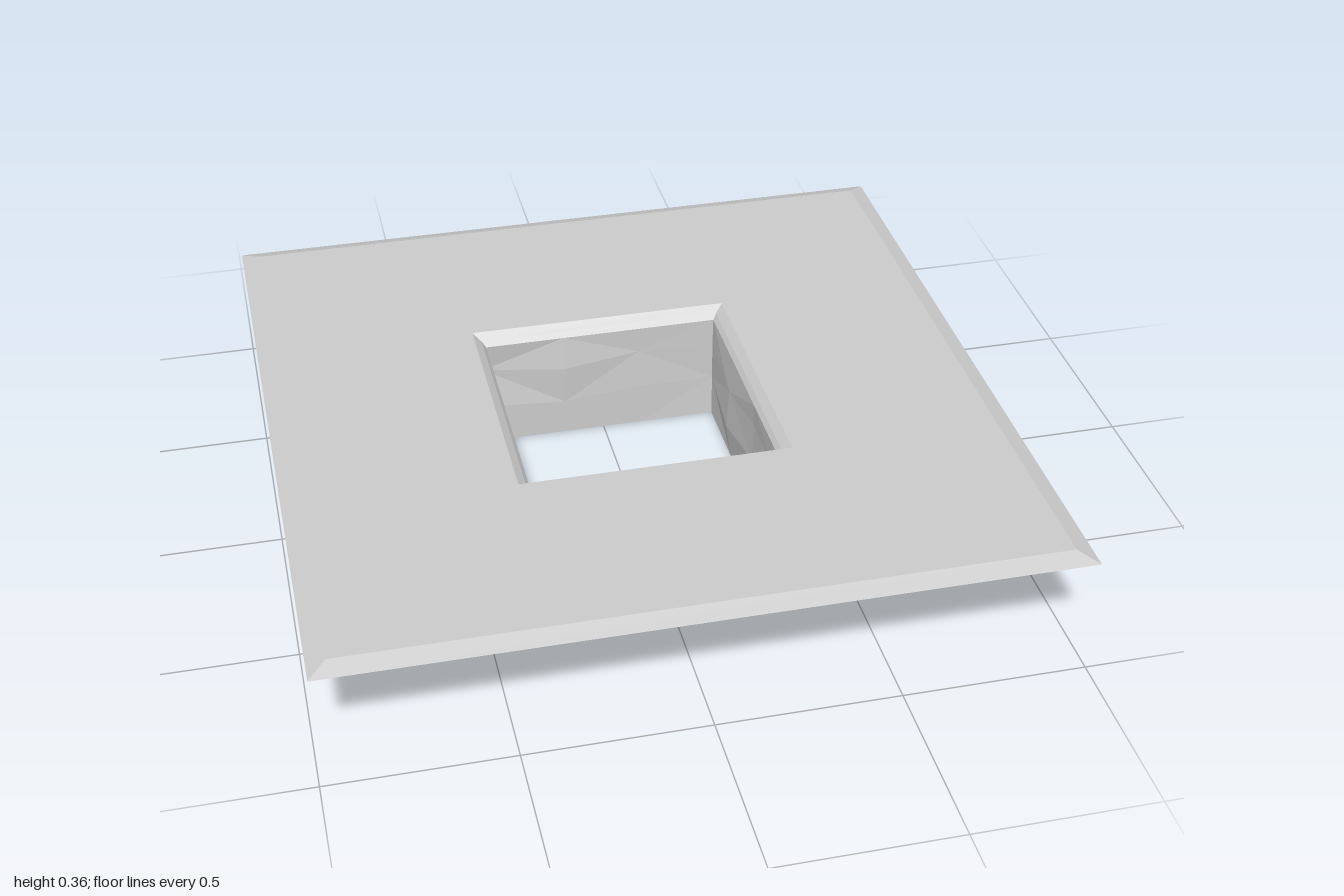
import * as THREE from 'three';

const C = -0.005; // the shaft sits slightly off centre

// Square ring, anticlockwise from above, with n segments per side
function squareRing(r, y, n = 1, c = 0) {
  const pts = [];
  const corners = [[1, 1], [1, -1], [-1, -1], [-1, 1]];
  corners.forEach(([x, z], i) => {
    const [x2, z2] = corners[(i + 1) % 4];
    for (let k = 0; k < n; k++) {
      const t = k / n;
      pts.push([c + r * (x + (x2 - x) * t), y, c + r * (z + (z2 - z) * t)]);
    }
  });
  return pts;
}

// Faceted sheet joining successive rings of equal length
function loft(rings) {
  const pos = [];
  for (let j = 0; j < rings.length - 1; j++) {
    const A = rings[j], B = rings[j + 1], n = A.length;
    for (let i = 0; i < n; i++) {
      const k = (i + 1) % n;
      if ((i + j) % 2) pos.push(...A[i], ...A[k], ...B[k], ...A[i], ...B[k], ...B[i]);
      else pos.push(...A[i], ...A[k], ...B[i], ...A[k], ...B[k], ...B[i]);
    }
  }
  const g = new THREE.BufferGeometry();
  g.setAttribute('position', new THREE.Float32BufferAttribute(pos, 3));
  g.computeVertexNormals();
  return g;
}

export function createModel() {
  const group = new THREE.Group();
  group.name = 'groundWithShaft';
  const stone = new THREE.MeshStandardMaterial({ color: 0xcccccc, side: THREE.DoubleSide, flatShading: true });
  stone.name = 'grey stone';
  const add = (name, rings) => {
    const m = new THREE.Mesh(loft(rings), stone);
    m.name = name;
    group.add(m);
  };

  // Ground sheet with a bevelled rim and a lip around the hole
  add('ground', [
    squareRing(1, 0.345),
    squareRing(0.95, 0.363),
    squareRing(0.375, 0.363, 1, C),
    squareRing(0.352, 0.345, 1, C),
  ]);

  // Narrowing collar under the lip
  add('collar', [squareRing(0.352, 0.345, 1, C), squareRing(0.341, 0.33, 1, C)]);

  // Rough walls: middle rings pushed in or out; right, back, left, front sides
  const upper = [0.002, 0.004, -0.008, 0, 0.003, -0.01, 0.012, 0.006, 0.003, 0.004, 0.01, 0.004];
  const lower = [0.003, 0.002, -0.014, 0.002, -0.004, -0.004, -0.004, 0.004, -0.003, 0.005, -0.004, 0.003];
  const roughRing = (y, push) => squareRing(0.34, y, 3, C).map(([x, , z], i) => {
    const s = 1 + push[i] / 0.34;
    // corners move both ways, side points only across their wall
    const side = Math.floor(i / 3), corner = i % 3 === 0;
    return [
      corner || side % 2 === 0 ? x * s : x,
      y + (corner ? 0 : 0.02 * Math.sin(i * 2.3)),
      corner || side % 2 === 1 ? z * s : z,
    ];
  });
  add('shaftWalls', [
    squareRing(0.341, 0.33, 3, C),
    roughRing(0.245, upper),
    roughRing(0.125, lower),
    squareRing(0.338, 0, 3, -0.002),
  ]);

  return group;
}
